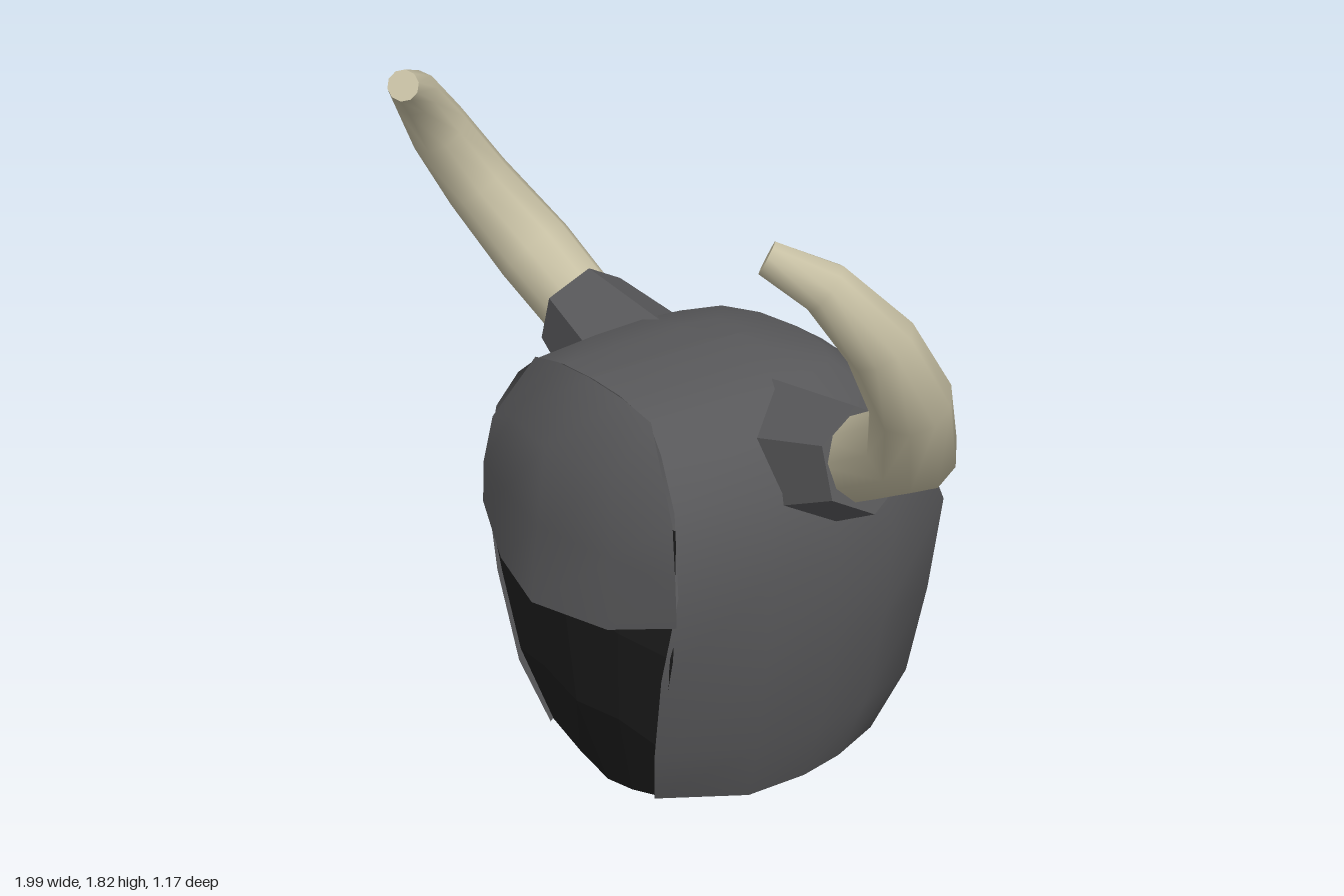
import * as THREE from 'three';

// Skin a stack of equal-length point rings; flat gives faceted normals, skip leaves out quads
function loft(rings, { closed = false, flat = false, skip = () => false } = {}) {
  const n = rings[0].length, index = [];
  const cols = closed ? n : n - 1;
  for (let r = 0; r < rings.length - 1; r++) {
    for (let c = 0; c < cols; c++) {
      if (skip(r, c)) continue;
      const a = r * n + c, b = r * n + (c + 1) % n;
      index.push(a, b, b + n, a, b + n, a + n);
    }
  }
  let g = new THREE.BufferGeometry();
  g.setAttribute('position', new THREE.Float32BufferAttribute(rings.flat(2), 3));
  g.setIndex(index);
  if (flat) g = g.toNonIndexed();
  g.computeVertexNormals();
  return g;
}

// Complete a half row (centre first, then outwards) with its mirrored half
const mirrorRow = half => [...half.slice(1).reverse().map(([x, y, z]) => [-x, y, z]), ...half];

export function createModel() {
  const model = new THREE.Group();
  const steel = new THREE.MeshStandardMaterial({ color: 0x58585a, side: THREE.DoubleSide });
  steel.name = 'dark steel';
  const black = new THREE.MeshStandardMaterial({ color: 0x1d1d1d, side: THREE.DoubleSide });
  black.name = 'black face';
  const bone = new THREE.MeshStandardMaterial({ color: 0xc6bfa3 });
  bone.name = 'horn bone';

  const add = (name, geometry, material, parent = model) => {
    const mesh = new THREE.Mesh(geometry, material);
    mesh.name = name;
    parent.add(mesh);
    return mesh;
  };

  // Helmet shell: height, front edge x and z, half width, back z
  const levels = [
    [0.09, 0.24, 0.38, 0.39, -0.40],
    [0.27, 0.31, 0.43, 0.455, -0.50],
    [0.53, 0.37, 0.45, 0.50, -0.545],
    [0.79, 0.43, 0.44, 0.52, -0.585],
    [1.0, 0.39, 0.42, 0.475, -0.485],
    [1.12, 0.31, 0.40, 0.38, -0.36],
    [1.18, 0.24, 0.385, 0.28, -0.27],
    [1.205, 0.12, 0.385, 0.14, -0.13],
    [1.21, 0, 0.385, 0, -0.08],
  ];
  const shellRings = levels.map(([y, xf, zf, w, b]) => {
    const half = [
      [0, y, b], [0.46 * w, y, 0.935 * b], [0.81 * w, y, 0.74 * b], [0.95 * w, y, 0.34 * b],
      [w, y, 0], [0.965 * w, y, 0.46 * zf], [xf, y, zf],
    ];
    return mirrorRow(half).reverse();
  });
  const isBackPanel = (r, c) => r < 3 && (c === 5 || c === 6);
  add('helmetShell', loft(shellRings, { skip: isBackPanel }), steel);

  // Flat panel at the lower back
  add('backPanel', loft(shellRings.slice(0, 4).map(r => r.slice(5, 8)), { flat: true }), steel);

  // Brow visor, bottom row to top row
  const visorRows = [
    [[0, 0.64, 0.585], [0.24, 0.645, 0.52], [0.432, 0.71, 0.447]],
    [[0, 0.85, 0.56], [0.24, 0.84, 0.505], [0.425, 0.83, 0.445]],
    [[0, 1.06, 0.53], [0.22, 1.05, 0.485], [0.395, 0.97, 0.43]],
    [[0, 1.212, 0.39], [0.14, 1.205, 0.39], [0.25, 1.18, 0.385]],
  ];
  add('visor', loft(visorRows.map(mirrorRow)), steel);

  // Dark face behind the opening, chin to brow
  const faceRows = [
    [[0, 0.02, 0.36], [0.12, 0.05, 0.365], [0.24, 0.095, 0.37]],
    [[0, 0.3, 0.455], [0.17, 0.32, 0.44], [0.315, 0.3, 0.42]],
    [[0, 0.65, 0.49], [0.21, 0.6, 0.465], [0.4, 0.6, 0.435]],
    [[0, 0.95, 0.47], [0.2, 0.95, 0.45], [0.39, 0.95, 0.415]],
  ];
  add('face', loft(faceRows.map(mirrorRow), { flat: true }), black);

  // Underside of the head with the neck stub, centre outwards
  const rim = [...shellRings[0].map(([x, y, z]) => [x * 0.98, y + 0.01, z * 0.98]), [0, 0.02, 0.36]];
  const neckRing = (radius, y) => rim.map(([x, , z]) => {
    const l = Math.hypot(x, z);
    return [x / l * radius, y, z / l * radius];
  });
  add('neck', loft([neckRing(0.001, 0.03), neckRing(0.1, 0.03), neckRing(0.14, 0),
    neckRing(0.165, 0.06), rim], { closed: true, flat: true }), black);

  // Horn centre line: x, y, z, radius
  const hornPath = [
    [0.56, 1.085, 0.0, 0.108],
    [0.79, 1.215, 0.02, 0.114],
    [0.9, 1.41, 0.13, 0.098],
    [0.915, 1.585, 0.24, 0.085],
    [0.85, 1.72, 0.345, 0.064],
    [0.755, 1.783, 0.435, 0.042],
  ];
  const centres = hornPath.map(([x, y, z]) => new THREE.Vector3(x, y, z));
  const side = new THREE.Vector3(0, -0.5, 0.85);
  const hornRings = hornPath.map(([, , , radius], i) => {
    const t = centres[Math.min(i + 1, 5)].clone().sub(centres[Math.max(i - 1, 0)]).normalize();
    // Carry the same frame along the path to avoid twisting
    side.addScaledVector(t, -side.dot(t)).normalize();
    const v = t.clone().cross(side);
    return Array.from({ length: 10 }, (_, k) => {
      const a = k / 10 * Math.PI * 2;
      return centres[i].clone().addScaledVector(side, Math.cos(a) * radius)
        .addScaledVector(v, Math.sin(a) * radius).toArray();
    });
  });
  const hornGeometry = loft(hornRings, { closed: true });
  const tip = hornRings[5];
  const tipGeometry = loft([tip, tip.map(() => centres[5].toArray())], { closed: true, flat: true });

  // Six-sided socket holding each horn
  const socketGeometry = new THREE.CylinderGeometry(0.137, 0.2, 0.34, 6, 1, false, Math.PI / 2).toNonIndexed();
  socketGeometry.computeVertexNormals();
  const axis = new THREE.Vector3(0.95, 0.31, 0).normalize();

  for (const s of [1, -1]) {
    const horn = new THREE.Group();
    horn.name = s > 0 ? 'leftHorn' : 'rightHorn';
    horn.scale.x = s;
    add('hornBody', hornGeometry, bone, horn);
    add('hornTip', tipGeometry, bone, horn);
    const socket = add('hornSocket', socketGeometry, steel, horn);
    socket.quaternion.setFromUnitVectors(new THREE.Vector3(0, 1, 0), axis);
    socket.position.set(0.6, 1.1, 0).addScaledVector(axis, -0.17);
    model.add(horn);
  }
  return model;
}
